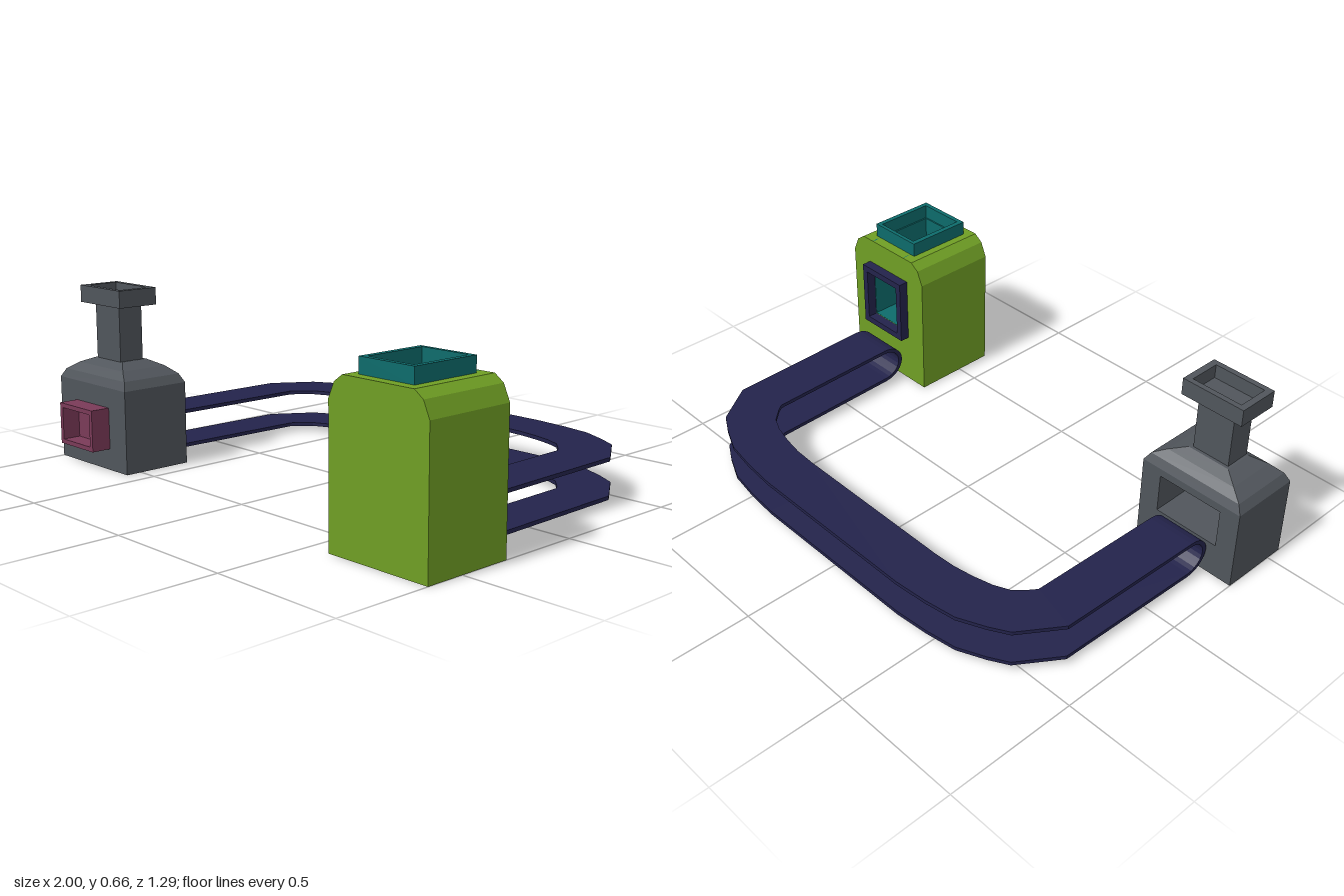
import * as THREE from 'three';

const mat = (name, color, extra = {}) => {
  const m = new THREE.MeshStandardMaterial({ color, ...extra });
  m.name = name;
  return m;
};

// Shape from a list of [x, y] corners
const poly = (pts) => new THREE.Shape(pts.map(([x, y]) => new THREE.Vector2(x, y)));
const rect = (x0, x1, y0, y1) => [[x0, y0], [x1, y0], [x1, y1], [x0, y1]];

export function createModel() {
  const model = new THREE.Group();
  const gray = mat('slate gray', 0x50555b);
  const green = mat('leaf green', 0x6f9e24);
  const teal = mat('teal', 0x0d6b6b);
  const navy = mat('navy', 0x23234b, { flatShading: true });
  const plum = mat('plum', 0x7a3a58);

  const add = (parent, name, geo, m) => {
    const mesh = new THREE.Mesh(geo, m);
    mesh.name = name;
    parent.add(mesh);
    return mesh;
  };
  const group = (name) => {
    const g = new THREE.Group();
    g.name = name;
    model.add(g);
    return g;
  };
  // Box given by its limits on each axis
  const box = (parent, name, m, x0, x1, y0, y1, z0, z1) =>
    add(parent, name, new THREE.BoxGeometry(x1 - x0, y1 - y0, z1 - z0), m)
      .position.set((x0 + x1) / 2, (y0 + y1) / 2, (z0 + z1) / 2);
  // Outline extruded along z, with an optional hole
  const slab = (parent, name, m, pts, z0, z1, hole) => {
    const s = poly(pts);
    if (hole) s.holes.push(poly(hole));
    const g = new THREE.ExtrudeGeometry(s, { depth: z1 - z0, bevelEnabled: false });
    add(parent, name, g, m).position.z = z0;
  };
  // Rectangular frame lying flat, extruded along y
  const flatFrame = (parent, name, m, outer, inner, y0, y1) => {
    const s = poly(rect(outer[0], outer[1], -outer[3], -outer[2]));
    s.holes.push(poly(rect(inner[0], inner[1], -inner[3], -inner[2])));
    const g = new THREE.ExtrudeGeometry(s, { depth: y1 - y0, bevelEnabled: false });
    g.rotateX(-Math.PI / 2);
    add(parent, name, g, m).position.y = y0;
  };

  // ---- Furnace: hollow body, hipped roof, chimney and front hatch
  const furnace = group('furnace');
  slab(furnace, 'furnaceBack', gray, rect(-1, -0.58, 0, 0.31), 0.29, 0.48, rect(-0.92, -0.66, 0.13, 0.28));
  box(furnace, 'furnaceFront', gray, -1, -0.58, 0, 0.31, 0.48, 0.562);

  // Roof lofted from shrinking rectangles
  const steps = [[0.31, 0.21, 0.136], [0.342, 0.19, 0.122], [0.37, 0.142, 0.094], [0.392, 0.085, 0.055]];
  const roofPos = [];
  const corner = ([y, hx, hz], k) => [[hx, y, hz], [hx, y, -hz], [-hx, y, -hz], [-hx, y, hz]][k % 4];
  for (let i = 0; i < steps.length - 1; i++) {
    for (let k = 0; k < 4; k++) {
      const a = corner(steps[i], k), b = corner(steps[i], k + 1);
      const c = corner(steps[i + 1], k + 1), d = corner(steps[i + 1], k);
      roofPos.push(...a, ...b, ...c, ...a, ...c, ...d);
    }
  }
  const [t0, t1, t2, t3] = [0, 1, 2, 3].map((k) => corner(steps[3], k));
  roofPos.push(...t0, ...t1, ...t2, ...t0, ...t2, ...t3);
  const roof = new THREE.BufferGeometry();
  roof.setAttribute('position', new THREE.Float32BufferAttribute(roofPos, 3));
  roof.computeVertexNormals();
  add(furnace, 'furnaceRoof', roof, gray).position.set(-0.79, 0, 0.426);

  box(furnace, 'chimney', gray, -0.865, -0.715, 0.37, 0.606, 0.383, 0.482);
  box(furnace, 'chimneyCapFloor', gray, -0.9, -0.68, 0.6, 0.612, 0.36, 0.505);
  flatFrame(furnace, 'chimneyCap', gray, [-0.915, -0.664, 0.352, 0.514], [-0.89, -0.689, 0.373, 0.493], 0.6, 0.664);

  slab(furnace, 'hatchFrame', plum, rect(-0.893, -0.685, 0.08, 0.235), 0.56, 0.637, rect(-0.876, -0.702, 0.097, 0.218));
  box(furnace, 'hatchBack', plum, -0.88, -0.7, 0.09, 0.225, 0.56, 0.568);

  // ---- Storage bin: rounded shell with a shaft open at the top and back
  const bin = group('storageBin');
  const left = [[0.65, 0.56], [0.615, 0.535], [0.59, 0.48], [0.59, 0]];
  const right = [[1, 0], [1, 0.48], [0.975, 0.535], [0.94, 0.56]];
  const notch = [[0.886, 0.56], [0.886, 0.2], [0.7, 0.2], [0.7, 0.56]];
  slab(bin, 'binFront', green, [...left, ...right], 0.59, 0.645);
  slab(bin, 'binMiddle', green, [...left, ...right, ...notch], 0.36, 0.59);
  slab(bin, 'binBack', green, [...left, ...right], 0.304, 0.36, rect(0.7, 0.886, 0.225, 0.435));

  // Teal lining of the shaft
  box(bin, 'shaftFloor', teal, 0.7, 0.886, 0.2, 0.226, 0.306, 0.59);
  for (const [a, b] of [[0.7, 0.706], [0.88, 0.886]]) box(bin, 'shaftSide', teal, a, b, 0.2, 0.56, 0.306, 0.59);
  box(bin, 'shaftFront', teal, 0.7, 0.886, 0.2, 0.56, 0.584, 0.59);
  box(bin, 'shaftLintel', teal, 0.7, 0.886, 0.434, 0.56, 0.36, 0.366);

  flatFrame(bin, 'hopperRim', teal, [0.68, 0.905, 0.345, 0.608], [0.7, 0.886, 0.36, 0.59], 0.56, 0.614);
  slab(bin, 'outletFrame', navy, rect(0.68, 0.905, 0.2, 0.46), 0.266, 0.304, rect(0.705, 0.88, 0.225, 0.435));

  // ---- Conveyor belt: a thin closed band following a U in plan
  // Each row: outer edge x, z and inner edge x, z; mirrored for the other half
  const half = [
    [0.887, 0.2, 0.704, 0.2], [0.872, -0.38, 0.69, -0.33], [0.845, -0.42, 0.672, -0.355],
    [0.77, -0.53, 0.63, -0.4], [0.70, -0.57, 0.575, -0.425], [0.60, -0.615, 0.50, -0.444],
    [0.48, -0.634, 0.42, -0.457], [0.35, -0.645, 0.33, -0.461],
  ];
  const plan = [
    ...half.map(([a, b, c, d]) => [-a, b, -c, d]),
    ...half.slice().reverse(),
  ];
  const yMid = 0.0965, beltPos = [], stations = [];
  const station = ([ax, az, bx, bz], t) => {
    const s = Math.sin(t), c = Math.cos(t);
    const yo = yMid + 0.074 * c, yi = yMid + 0.06 * c;
    const zo = 0.086 * s, zi = 0.068 * s;
    stations.push([[ax, yo, az + zo], [bx, yo, bz + zo], [bx, yi, bz + zi], [ax, yi, az + zi]]);
  };
  const turns = 12;
  plan.forEach((p) => station(p, 0));
  for (let i = 1; i < turns; i++) station(plan[plan.length - 1], (i / turns) * Math.PI);
  plan.slice().reverse().forEach((p) => station(p, Math.PI));
  for (let i = turns - 1; i > 0; i--) station(plan[0], (i / turns) * Math.PI);
  stations.forEach((p, i) => {
    const q = stations[(i + 1) % stations.length];
    for (let j = 0; j < 4; j++) {
      const k = (j + 1) % 4;
      beltPos.push(...p[j], ...p[k], ...q[k], ...p[j], ...q[k], ...q[j]);
    }
  });
  const belt = new THREE.BufferGeometry();
  belt.setAttribute('position', new THREE.Float32BufferAttribute(beltPos, 3));
  belt.computeVertexNormals();
  add(model, 'conveyorBelt', belt, navy);

  return model;
}
